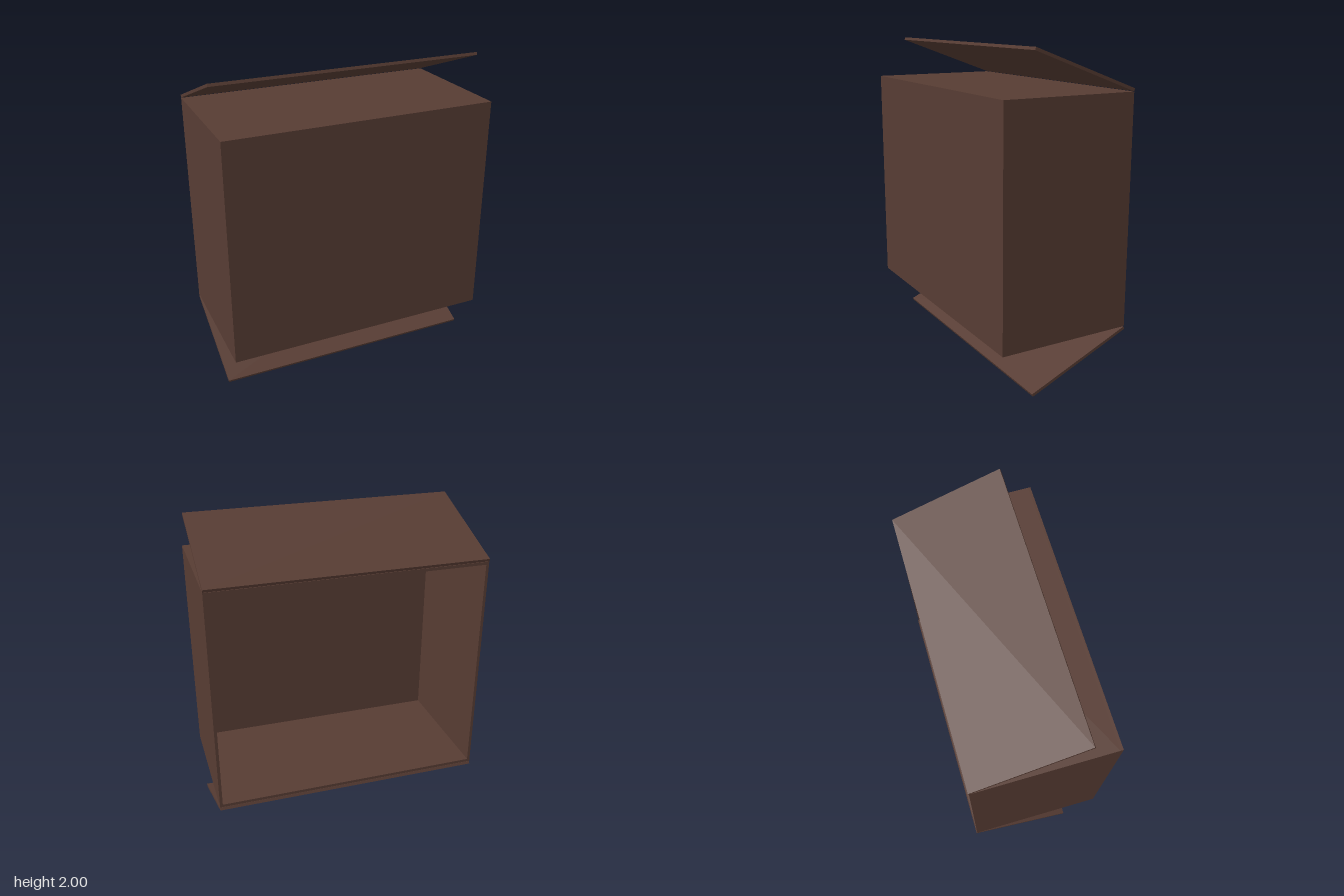
import * as THREE from 'three';

export function createModel() {
  const model = new THREE.Group();
  model.name = 'openCabinet';
  const brown = new THREE.MeshStandardMaterial({ color: 0x573c33 });
  brown.name = 'dark brown';

  const T = 0.018;                 // panel thickness
  const W = 1.72;                  // width
  const Y0 = 0.3, Y1 = 1.736;      // case bottom and top
  const Z0 = -0.428, Z1 = 0.434;   // open back and closed front
  const midY = (Y0 + Y1) / 2;
  const depth = Z1 - Z0 - T, midZ = (Z0 + Z1 - T) / 2;

  function panel(name, w, h, d, x, y, z) {
    const mesh = new THREE.Mesh(new THREE.BoxGeometry(w, h, d), brown);
    mesh.name = name;
    mesh.position.set(x, y, z);
    model.add(mesh);
    return mesh;
  }

  // Case: closed front, four walls, open back
  panel('frontPanel', W, Y1 - Y0, T, 0, midY, Z1 - T / 2);
  panel('topPanel', W, T, depth, 0, Y1 - T / 2, midZ);
  panel('bottomPanel', W, T, depth, 0, Y0 + T / 2, midZ);
  for (const [name, s] of [['leftPanel', 1], ['rightPanel', -1]]) {
    panel(name, T, Y1 - Y0 - 2 * T, depth, s * (W - T) / 2, midY, midZ);
  }

  // Flaps folded open from the back edges, given as [z, y] of hinge and tip
  function flap(name, [za, ya], [zb, yb]) {
    const length = Math.hypot(zb - za, yb - ya);
    const mesh = panel(name, W, T, length, 0, (ya + yb) / 2, (za + zb) / 2);
    mesh.rotation.x = -Math.atan2(yb - ya, zb - za);
  }
  flap('topFlap', [-0.43, 1.746], [0.242, 1.992]);
  flap('bottomFlap', [-0.43, 0.289], [0.232, 0.009]);

  return model;
}
